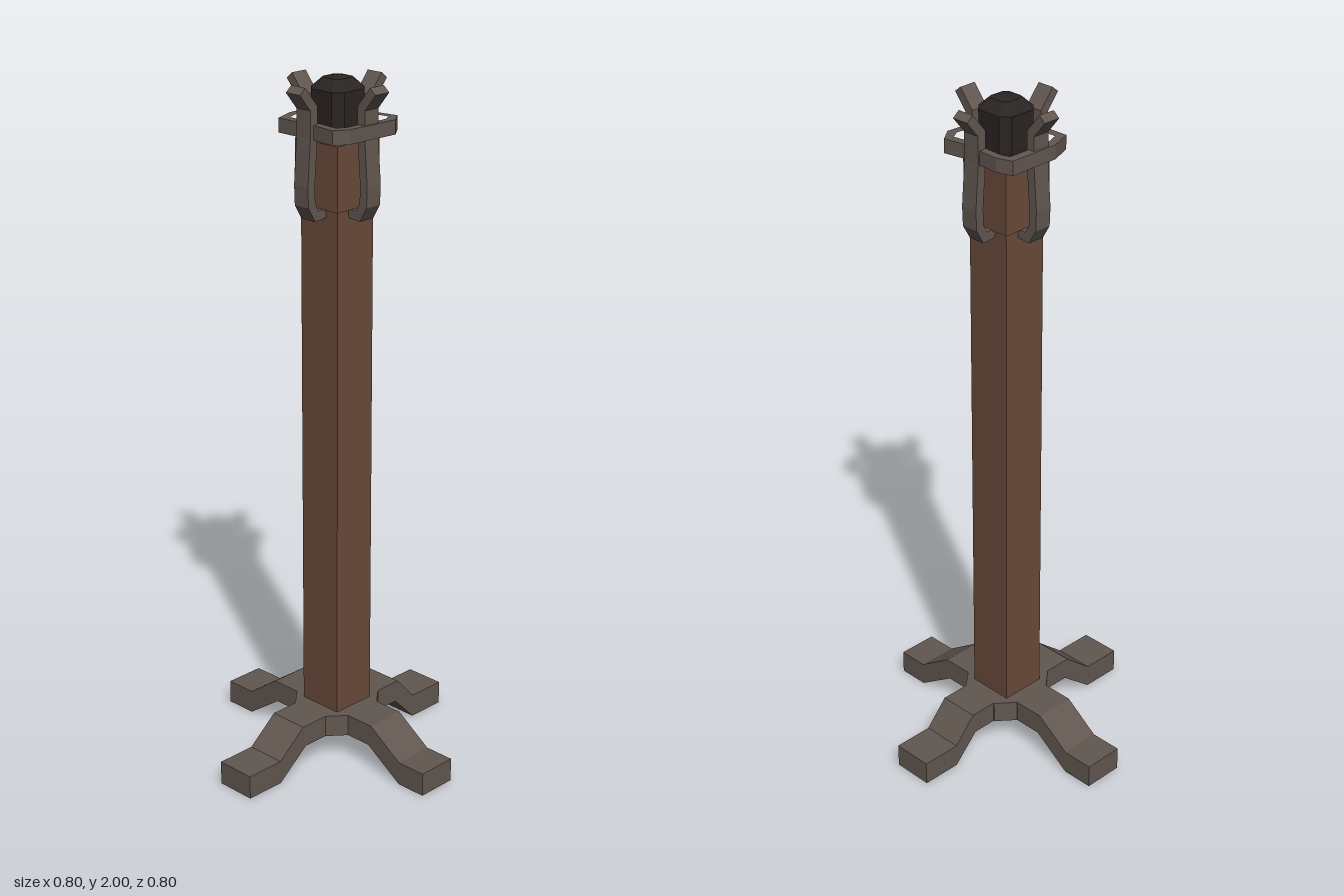
import * as THREE from 'three';

const CZ = -0.014; // the post and head sit slightly behind the centre

const mat = (color) => new THREE.MeshStandardMaterial({ color, flatShading: true });
const toShape = (pts) => new THREE.Shape(pts.map(([a, b]) => new THREE.Vector2(a, b)));

function add(parent, name, geometry, material) {
  const mesh = new THREE.Mesh(geometry, material);
  mesh.name = name;
  parent.add(mesh);
  return mesh;
}

// Side profile (distance outward, height) given a width and turned about the post
function sideBar(pts, width, angle) {
  const g = new THREE.ExtrudeGeometry(toShape(pts), { depth: width, bevelEnabled: false });
  return g.translate(0, 0, -width / 2).rotateY(angle);
}

// Plan outline (x, z) given a height from y0 to y1
function slab(pts, y0, y1, hole) {
  const shape = toShape(pts.map(([x, z]) => [x, -z]));
  if (hole) shape.holes.push(new THREE.Path(hole.map(([x, z]) => new THREE.Vector2(x, -z))));
  const g = new THREE.ExtrudeGeometry(shape, { depth: y1 - y0, bevelEnabled: false });
  return g.rotateX(-Math.PI / 2).translate(0, y0, 0);
}

// Bent bar profile: offset a centre line to both sides with mitred corners
function bentBar(path, thickness) {
  const p = path.map(([a, b]) => new THREE.Vector2(a, b));
  const left = [], right = [];
  p.forEach((q, i) => {
    const d0 = q.clone().sub(p[Math.max(i - 1, 0)]).normalize();
    const d1 = p[Math.min(i + 1, p.length - 1)].clone().sub(q).normalize();
    const t = d0.clone().add(d1).normalize();
    const n = new THREE.Vector2(-t.y, t.x);
    const ref = d1.lengthSq() > 0 ? d1 : d0;
    const s = thickness / 2 / Math.max(0.5, t.dot(ref));
    left.push([q.x + n.x * s, q.y + n.y * s]);
    right.push([q.x - n.x * s, q.y - n.y * s]);
  });
  return right.concat(left.reverse());
}

export function createModel() {
  const model = new THREE.Group();
  model.name = 'torchStand';
  const wood = mat(0x6a4a3a), iron = mat(0x625750), char = mat(0x2a2422);

  // Wooden post and its wider head
  add(model, 'post', new THREE.BoxGeometry(0.138, 1.59, 0.138), wood).position.set(0, 0.875, CZ);
  add(model, 'postHead', new THREE.BoxGeometry(0.16, 0.18, 0.16), wood).position.set(0, 1.74, CZ);

  // Foot: chamfered hub and four stepped legs
  const w = 0.105, c = 0.061, d = 0.113;
  const hub = [[w, -c], [w, c], [c, d], [-c, d], [-w, c], [-w, -c], [-c, -d], [c, -d]];
  add(model, 'footHub', slab(hub.map(([x, z]) => [x, z + CZ]), 0.08, 0.145), iron);

  // turn, start of slope, end of slope, centre x, centre z
  const legs = [
    [0, 0.197, 0.308, 0, CZ],
    [Math.PI, 0.2, 0.305, 0, CZ],
    [-Math.PI / 2, 0.188, 0.28, 0.002, 0],
    [Math.PI / 2, 0.212, 0.28, 0.002, 0],
  ];
  for (const [angle, a, b, x, z] of legs) {
    const profile = [[0.08, 0.08], [a - 0.01, 0.08], [b, 0], [0.4, 0], [0.4, 0.07], [b, 0.07], [a, 0.145], [0.08, 0.145]];
    add(model, 'leg', sideBar(profile, 0.121, angle), iron).position.set(x, 0, z);
  }

  // Four bent prongs holding the flame cup
  const prong = bentBar([[0.06, 1.64], [0.103, 1.636], [0.122, 1.668], [0.124, 1.72],
    [0.114, 1.85], [0.114, 1.93], [0.155, 1.98]], 0.026);
  for (let i = 0; i < 4; i++) {
    add(model, 'prong', sideBar(prong, 0.052, i * Math.PI / 2), iron).position.z = CZ;
  }

  // Crooked hand-forged ring around the prongs
  const outer = [[-0.135, -0.124], [-0.088, -0.139], [0.04, -0.133], [0.1, -0.143], [0.133, -0.1],
    [0.129, 0.07], [0.105, 0.111], [0.03, 0.101], [-0.105, 0.102], [-0.133, 0.033]];
  const inner = [[-0.108, -0.107], [-0.085, -0.115], [0.04, -0.109], [0.092, -0.115], [0.108, -0.09],
    [0.104, 0.055], [0.091, 0.083], [0.03, 0.077], [-0.09, 0.075], [-0.108, 0.03]];
  add(model, 'ring', slab(outer, 1.845, 1.885, inner), iron);

  // Charred torch tip: chamfered square sections joined in loops
  const sections = [[0.054, 1.8], [0.062, 1.87], [0.062, 1.965], [0.034, 1.994], [0, 2]];
  const pos = [], index = [];
  sections.forEach(([r, y], k) => {
    const e = r * 0.62;
    for (const [x, z] of [[r, -e], [r, e], [e, r], [-e, r], [-r, e], [-r, -e], [-e, -r], [e, -r]]) pos.push(x, y, z);
    if (k === 0) return;
    for (let i = 0; i < 8; i++) {
      const j = (i + 1) % 8, lo = (k - 1) * 8, hi = k * 8;
      index.push(lo + i, hi + i, lo + j, lo + j, hi + i, hi + j);
    }
  });
  const tip = new THREE.BufferGeometry();
  tip.setAttribute('position', new THREE.Float32BufferAttribute(pos, 3));
  tip.setIndex(index);
  const tipFlat = tip.toNonIndexed();
  tipFlat.computeVertexNormals();
  add(model, 'charredTip', tipFlat, char).position.z = CZ - 0.002;

  return model;
}
